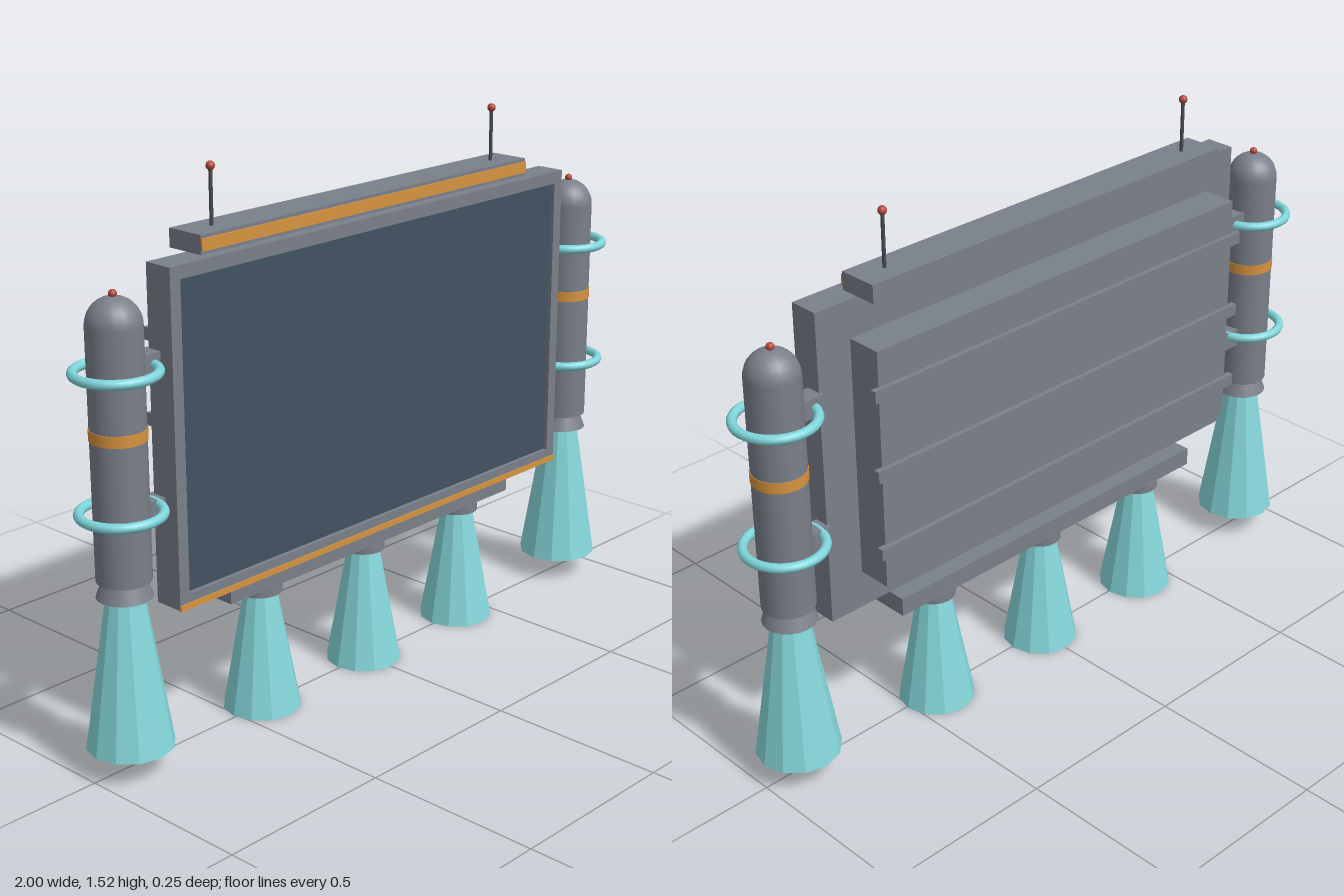
import * as THREE from 'three';

const mat = (name, color, extra = {}) => {
  const m = new THREE.MeshStandardMaterial({ color, ...extra });
  m.name = name;
  return m;
};

export function createModel() {
  const grey = mat('body grey', 0x7a808a);
  const dark = mat('antenna dark grey', 0x474c52);
  const glass = mat('screen blue grey', 0x425160);
  const orange = mat('trim orange', 0xd6933f);
  const red = mat('beacon red', 0xb0483a);
  const teal = mat('flame teal', 0x86d8dc, { side: THREE.DoubleSide, flatShading: true });
  const ringTeal = mat('ring teal', 0x7fd6dc);

  const model = new THREE.Group();
  model.name = 'hoveringBillboard';

  const add = (parent, name, geometry, material, x = 0, y = 0, z = 0) => {
    const mesh = new THREE.Mesh(geometry, material);
    mesh.name = name;
    mesh.position.set(x, y, z);
    parent.add(mesh);
    return mesh;
  };
  // Box given by its limits on each axis
  const box = (parent, name, material, x0, x1, y0, y1, z0, z1) =>
    add(parent, name, new THREE.BoxGeometry(x1 - x0, y1 - y0, z1 - z0), material,
      (x0 + x1) / 2, (y0 + y1) / 2, (z0 + z1) / 2);
  // Upright cylinder or cone between two heights
  const tube = (parent, name, material, rTop, rBottom, y0, y1, x = 0, z = 0, sides = 20, open = false) =>
    add(parent, name, new THREE.CylinderGeometry(rTop, rBottom, y1 - y0, sides, 1, open), material,
      x, (y0 + y1) / 2, z);

  // Screen frame with a shallow recess
  const outline = new THREE.Shape([[-0.76, 0.415], [0.76, 0.415], [0.76, 1.305], [-0.76, 1.305]]
    .map(([x, y]) => new THREE.Vector2(x, y)));
  outline.holes.push(new THREE.Path([[-0.727, 0.453], [-0.727, 1.27], [0.727, 1.27], [0.727, 0.453]]
    .map(([x, y]) => new THREE.Vector2(x, y))));
  add(model, 'screenFrame', new THREE.ExtrudeGeometry(outline, { depth: 0.02, bevelEnabled: false }),
    grey, 0, 0, 0.053);
  box(model, 'framePanel', grey, -0.76, 0.76, 0.415, 1.305, -0.012, 0.053);
  box(model, 'screen', glass, -0.727, 0.727, 0.453, 1.27, 0.053, 0.061);
  box(model, 'lowerTrim', orange, -0.76, 0.76, 0.413, 0.429, 0.069, 0.077);

  // Rear housing and its ribs
  box(model, 'rearHousing', grey, -0.655, 0.655, 0.522, 1.2, -0.112, -0.012);
  for (const y of [0.632, 0.86, 1.086])
    box(model, 'rearRib', grey, -0.677, 0.677, y - 0.017, y + 0.017, -0.126, -0.108);

  // Top light bar and antennas
  box(model, 'topBar', grey, -0.628, 0.628, 1.305, 1.355, -0.074, 0.04);
  box(model, 'topTrim', orange, -0.628, 0.628, 1.314, 1.346, 0.038, 0.045);
  for (const x of [-0.54, 0.54]) {
    tube(model, 'antennaRod', dark, 0.005, 0.005, 1.355, 1.5, x, -0.015, 8);
    add(model, 'antennaTip', new THREE.SphereGeometry(0.012, 12, 8), red, x, 1.505, -0.015);
  }

  // Lower rail with three thrusters
  box(model, 'lowerRail', grey, -0.564, 0.564, 0.362, 0.415, -0.062, 0.05);
  for (const x of [-0.405, 0, 0.405]) {
    tube(model, 'thrusterCollar', grey, 0.06, 0.06, 0.336, 0.362, x, -0.006);
    tube(model, 'thrusterFlame', teal, 0.046, 0.107, 0, 0.336, x, -0.006, 12, true);
  }

  // Side pods
  for (const side of [-1, 1]) {
    const pod = new THREE.Group();
    pod.name = side > 0 ? 'leftPod' : 'rightPod';
    pod.position.set(side * 0.882, 0, 0.006);
    model.add(pod);

    tube(pod, 'podBody', grey, 0.071, 0.071, 0.522, 1.178);
    add(pod, 'podDome', new THREE.SphereGeometry(0.071, 20, 8, 0, Math.PI * 2, 0, Math.PI / 2), grey, 0, 1.178);
    add(pod, 'podBeacon', new THREE.SphereGeometry(0.011, 12, 8), red, 0, 1.254);
    tube(pod, 'podBand', orange, 0.073, 0.073, 0.89, 0.92);
    tube(pod, 'podNozzle', grey, 0.056, 0.073, 0.478, 0.522);
    tube(pod, 'podFlame', teal, 0.05, 0.115, 0.068, 0.478, 0, 0, 12, true);
    for (const y of [0.698, 1.06])
      add(pod, 'podRing', new THREE.TorusGeometry(0.105, 0.013, 10, 32), ringTeal, 0, y).rotation.x = Math.PI / 2;
    for (const y of [0.683, 1.062])
      box(pod, 'podBracket', grey, -side * 0.09 - 0.038, -side * 0.09 + 0.038, y - 0.027, y + 0.027, -0.03, 0.024);
  }

  return model;
}
